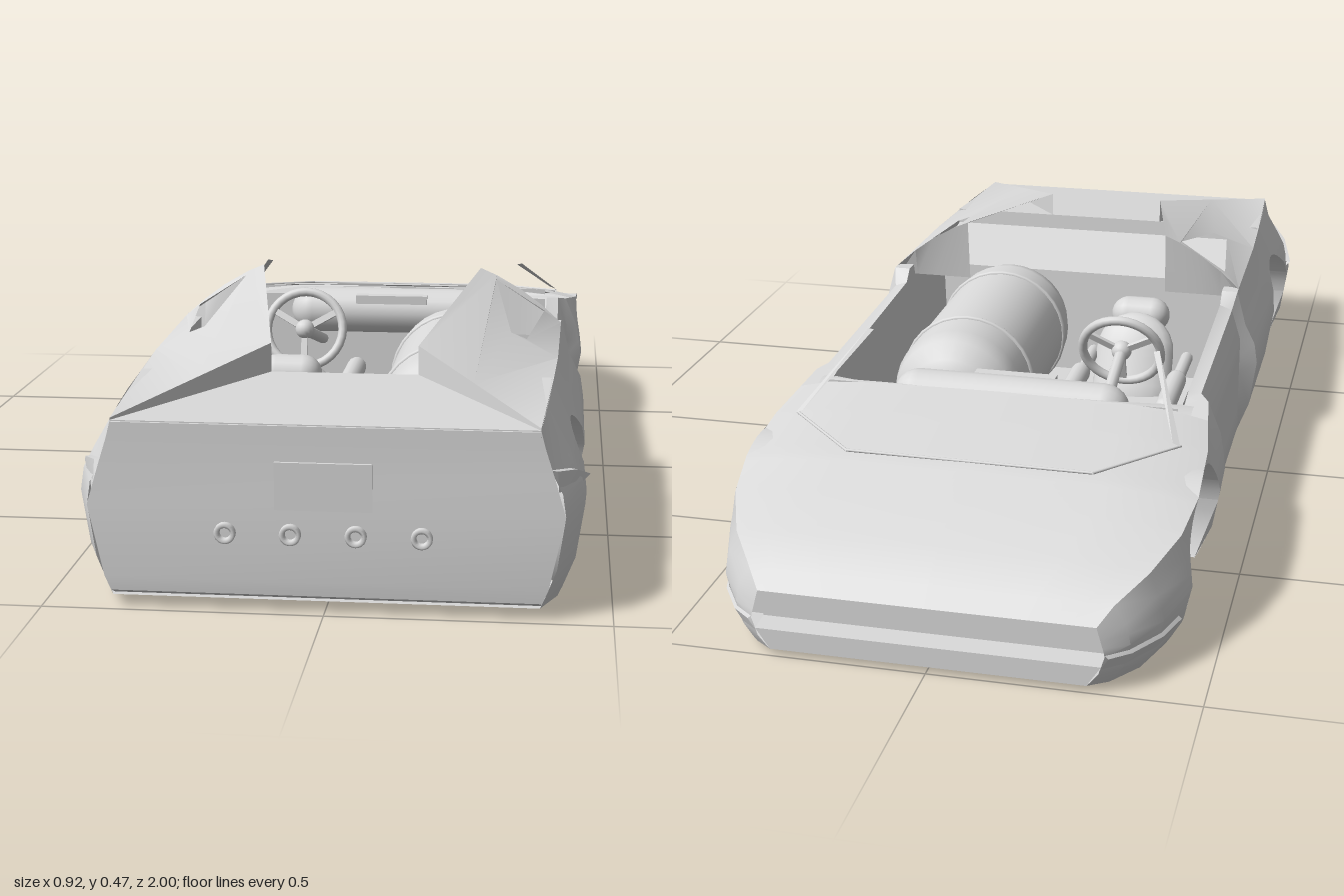
import * as THREE from 'three';
import { toCreasedNormals } from 'three/addons/utils/BufferGeometryUtils.js';

const lerp = THREE.MathUtils.lerp;
// Body stations: z, half width, shoulder x, shoulder y, underside y, width limit
const stations = [
  [-1, 0.325, 0.31, 0.135, 0.018, 1], [-0.97, 0.365, 0.335, 0.165, 0.014, 1], [-0.9, 0.412, 0.385, 0.198, 0.008, 1],
  [-0.8, 0.445, 0.425, 0.228, 0.004, 1], [-0.7, 0.454, 0.44, 0.256, 0.007, 1], [-0.55, 0.454, 0.435, 0.283, 0.014, 1],
  [-0.37, 0.448, 0.41, 0.312, 0.02, 1], [-0.345, 0.448, 0.392, 0.318, 0.02, 0.413], [0.13, 0.448, 0.392, 0.33, 0.02, 0.413],
  [0.155, 0.45, 0.4, 0.365, 0.02, 1], [0.5, 0.45, 0.395, 0.36, 0.02, 1], [0.8, 0.452, 0.382, 0.352, 0.02, 1],
  [0.9, 0.448, 0.376, 0.348, 0.02, 1], [0.985, 0.415, 0.37, 0.342, 0.026, 1],
];
// Side section: height fraction, width fraction at the front, at the rear
const section = [[0, 0.9, 0.9], [0.06, 0.92, 0.92], [0.22, 0.967, 0.967], [0.52, 1, 1], [0.65, 0.99, 0.985], [0.78, 0.975, 0.935]];
const arches = [{ z: 0.67, y: 0.11, r: 0.175 }, { z: -0.62, y: 0.105, r: 0.17 }];
const WELL = 0.27;

function at(z) {
  let i = 0;
  while (i < stations.length - 2 && z > stations[i + 1][0]) i++;
  const a = stations[i], b = stations[i + 1], t = (z - a[0]) / (b[0] - a[0]);
  const [, w, sx, sy, base, limit] = a.map((v, k) => lerp(v, b[k], t));
  return { w, sx, sy, base, limit };
}
function profile(z) {
  const s = at(z);
  return [...section.map(([f, xf, xr]) => [Math.min((z > 0.14 ? xr : xf) * s.w, s.limit), lerp(s.base, s.sy, f)]), [s.sx, s.sy]];
}
function sideX(z, y) {
  const p = profile(z);
  for (let i = 0; i < p.length - 1; i++) {
    if (y <= p[i + 1][1]) return lerp(p[i][0], p[i + 1][0], Math.max(0, (y - p[i][1]) / (p[i + 1][1] - p[i][1])));
  }
  return p[p.length - 1][0];
}
const archAt = (z) => arches.find((a) => Math.abs(z - a.z) < a.r - 0.002);
const archY = (a, z) => a.y + Math.sqrt(a.r * a.r - (z - a.z) ** 2);
// Half length of an arch opening at a height
const archHalf = (a, y) => Math.sqrt(a.r * a.r - Math.min(0, y - a.y) ** 2);

// Surface through equal rows of points
function surface(rows, crease = 0.45) {
  const n = rows[0].length, index = [];
  for (let i = 0; i < rows.length - 1; i++) {
    for (let j = 0; j < n - 1; j++) {
      const a = i * n + j, b = a + n;
      index.push(a, b, a + 1, b, b + 1, a + 1);
    }
  }
  const g = new THREE.BufferGeometry();
  g.setAttribute('position', new THREE.Float32BufferAttribute(rows.flat(2), 3));
  g.setIndex(index);
  return toCreasedNormals(g, crease);
}

export function createModel() {
  const car = new THREE.Group();
  car.name = 'openCarBody';
  const grey = new THREE.MeshStandardMaterial({ color: 0xdadada, side: THREE.DoubleSide });
  grey.name = 'lightGrey';
  const add = (name, geo, x = 0, y = 0, z = 0) => {
    const m = new THREE.Mesh(geo, grey);
    m.name = name;
    m.position.set(x, y, z);
    car.add(m);
    return m;
  };
  const both = (name, make) => [1, -1].forEach((s) => add(name + (s > 0 ? 'Left' : 'Right'), make(s)));
  const rod = (name, a, b, r) => {
    const line = new THREE.LineCurve3(new THREE.Vector3(...a), new THREE.Vector3(...b));
    return add(name, new THREE.TubeGeometry(line, 1, r, 10));
  };

  // Columns along the length, dense over the arches
  const zs = stations.map((s) => s[0]);
  for (const a of arches) {
    for (let i = 0; i <= 20; i++) zs.push(a.z - Math.cos((i / 20) * Math.PI) * (a.r - 0.0025));
    for (const d of [-1, 1]) {
      const h = archHalf(a, 0.02);
      zs.push(a.z + d * (a.r - 0.0015), a.z + d * (h - 0.0005), a.z + d * (h + 0.0005));
    }
  }
  zs.push(-0.44, 0.44);
  zs.sort((a, b) => a - b);

  // Flanks with round wheel arches
  both('flank', (s) => surface(zs.map((z) => {
    const a = archAt(z);
    const rim = arches.find((r) => Math.abs(Math.abs(z - r.z) - r.r + 0.0015) < 0.0004);
    return profile(z).map(([, y]) => {
      const yy = a ? Math.max(y, archY(a, z)) : y;
      const zz = rim ? rim.z + Math.sign(z - rim.z) * archHalf(rim, y) : z;
      return [s * sideX(z, yy), yy, zz];
    });
  })));

  // Underside, notched for the wheels
  add('underside', surface(zs.map((z) => {
    const { base, w, limit } = at(z);
    const x = arches.some((a) => Math.abs(z - a.z) < archHalf(a, 0.02)) ? WELL : Math.min(w * 0.9, limit);
    return [[-x, base, z], [x, base, z]];
  })));

  // Wheel wells: inner disc, roof and curved ends
  for (const a of arches) {
    const end = a.z > 0 ? 'rear' : 'front';
    const arc = zs.filter((z) => archAt(z) === a);
    both(end + 'WheelWell', (s) => surface(arc.map((z) => {
      const y = archY(a, z), low = Math.max(at(z).base, 2 * a.y - y);
      return [[s * WELL, low, z], [s * WELL, y, z], [s * sideX(z, y), y, z]];
    })));
    for (const d of [-1, 1]) {
      both(end + 'WellEnd', (s) => surface([0.02, 0.05, 0.08, 0.11, 0.14].map((y) => {
        const z = a.z + d * Math.sqrt(a.r ** 2 - (y - a.y) ** 2);
        return [[s * WELL, y, z], [s * sideX(z, y), y, z]];
      })));
    }
  }

  // Bonnet
  const bonnetZ = zs.filter((z) => z <= -0.44);
  add('bonnet', surface(bonnetZ.map((z) => {
    const { sx, sy } = at(z), bump = 0.024 * Math.min(1, (z + 1) / 0.3);
    return [[-1, 0], [-0.85, 0.6], [-0.6, 0.9], [0, 1], [0.6, 0.9], [0.85, 0.6], [1, 0]].map(([f, h]) => [f * sx, sy + h * bump, z]);
  })));
  // Scuttle curving back toward the cabin
  add('scuttle', surface([0, 0.5, 1].map((t) => [-1, -0.6, 0, 0.6, 1].map((f) =>
    [f * 0.385, lerp(f * f < 1 ? 0.322 : 0.305, 0.318, t) - 0.012 * (t === 1), -0.44 + t * 0.06 * f * f]))));
  add('firewall', surface([[[-0.36, 0.32, -0.44], [0.36, 0.32, -0.44]], [[-0.36, 0.03, -0.44], [0.36, 0.03, -0.44]]]));
  // Nose with a deep slot over the bumper
  add('nose', surface([[0.135, -1], [0.09, -1], [0.085, -0.955], [0.06, -0.955], [0.058, -1], [0.018, -1]].map(([y, z]) => {
    const x = sideX(-1, y);
    return [[-x, y, z], [x, y, z]];
  })));
  both('noseSideLip', (s) => surface([-1, -0.97, -0.9, -0.83].map((z) =>
    [[s * (sideX(z, 0.082) + 0.001), 0.082, z], [s * (sideX(z, 0.075) + 0.008), 0.076, z], [s * (sideX(z, 0.05) - 0.001), 0.05, z]])));

  // Windscreen surround
  both('screenPillar', (s) => surface([
    [[s * 0.385, 0.298, -0.57], [s * 0.37, 0.304, -0.57]], [[s * 0.305, 0.4, -0.34], [s * 0.293, 0.398, -0.34]],
  ]));
  const frame = [[-0.385, 0.296, -0.56], [-0.24, 0.2825, -0.69], [0.24, 0.2825, -0.69], [0.385, 0.296, -0.56]];
  for (let i = 0; i < 3; i++) rod('screenSeal', frame[i], frame[i + 1], 0.003);

  // Cabin rails, lining, floor and rear bulkhead
  const cabinZ = zs.filter((z) => z >= -0.44 && z <= 0.44);
  both('cabinRail', (s) => surface(cabinZ.map((z) => {
    const { sx, sy } = at(z), lift = z > -0.22 && z < 0.14 ? 0.01 : 0;
    return [[s * sx, sy, z], [s * 0.365, sy + lift, z], [s * 0.355, 0.03, z]];
  })));
  add('cabinFloor', new THREE.BoxGeometry(0.71, 0.01, 0.88), 0, 0.03, 0);
  add('rearDeck', surface([[0.985, 0.37, 0.342], [0.67, 0.385, 0.36], [0.668, 0.385, 0.325], [0.53, 0.39, 0.3],
    [0.45, 0.39, 0.285], [0.44, 0.355, 0.03]].map(([z, x, y]) => [[-x, y, z], [x, y, z]])));

  // Flying buttresses with quarter windows
  const inner = (z) => {
    const [a, b, t] = z < 0.67 ? [[0.23, 0.478], [0.138, 0.415], (z - 0.18) / 0.49] : [[0.138, 0.415], [0.37, 0.346], (z - 0.67) / 0.315];
    return [lerp(a[0], b[0], t), lerp(a[1], b[1], t)];
  };
  const buttressPoint = (s, z, v) => {
    const o = at(z), n = inner(z), lift = 0.05 * v * (1 - v) * (1 - (z - 0.18) / 0.805);
    return [s * lerp(o.sx, n[0], v), lerp(o.sy, n[1], v) + lift, z];
  };
  both('buttress', (s) => {
    const shape = new THREE.Shape([[0.18, 0], [0.5, 0], [0.67, 0], [0.985, 0], [0.985, 1], [0.82, 1], [0.67, 1],
      [0.5, 1], [0.18, 1], [0.18, 0.8], [0.18, 0.5], [0.18, 0.25]].map((p) => new THREE.Vector2(...p)));
    shape.holes.push(new THREE.Path([[0.205, 0.2], [0.205, 0.78], [0.47, 0.42], [0.47, 0.28]].map((p) => new THREE.Vector2(...p))));
    const g = new THREE.ShapeGeometry(shape), p = g.attributes.position;
    for (let i = 0; i < p.count; i++) p.setXYZ(i, ...buttressPoint(s, p.getX(i), p.getY(i)));
    return toCreasedNormals(g, 0.6);
  });
  both('buttressFront', (s) => surface([0, 0.25, 0.5, 0.8, 1].map((v) => {
    const [x, y, z] = buttressPoint(s, 0.18, v);
    return [[x, y, z], [x, 0.34, z + 0.015]];
  })));
  both('buttressWall', (s) => surface([0.67, 0.75, 0.83, 0.91, 0.985].map((z) => {
    const [x, y] = inner(z);
    return [[s * x, y, z], [s * x, lerp(0.36, 0.342, (z - 0.67) / 0.315), z]];
  })));

  // Tail panel, plate holder and corner slots
  add('tailPanel', surface([[0.342, 0.985], [0.31, 0.985], [0.26, 0.985], [0.19, 0.988], [0.06, 0.988], [0.034, 0.985], [0.02, 0.96]].map(([y, z]) => {
    const x = sideX(0.985, y);
    return [[-x, y, z], [x, y, z]];
  })));
  add('tailLip', new THREE.BoxGeometry(0.74, 0.03, 0.012), 0, 0.325, 0.984);
  add('plateHolder', new THREE.BoxGeometry(0.17, 0.085, 0.008), 0, 0.233, 0.987);
  both('tailSlot', (s) => surface([[0.987, 0.272, 0.235], [0.92, 0.258, 0.225], [0.83, 0.225, 0.212]].map(([z, hi, lo]) =>
    [[s * sideX(z, hi), hi + 0.002, z], [s * (sideX(z, hi) + 0.012), hi, z], [s * (sideX(z, lo) - 0.004), lo, z]])));
  const pipe = [[0.008, -0.02], [0.01, 0.008], [0.015, 0.012], [0.019, 0.008], [0.019, -0.02]].map((p) => new THREE.Vector2(...p));
  for (const x of [-0.172, -0.058, 0.056, 0.17]) {
    add('exhaust', new THREE.LatheGeometry(pipe, 20), x, 0.147, 0.988).rotation.x = Math.PI / 2;
  }

  // Gas tank with bands
  const tank = [[0, -0.33], [0.06, -0.325], [0.105, -0.305], [0.135, -0.27], [0.145, -0.23],
    [0.145, 0.23], [0.135, 0.27], [0.105, 0.305], [0.06, 0.325], [0, 0.33]].map((p) => new THREE.Vector2(...p));
  add('tank', new THREE.LatheGeometry(tank, 32), 0.17, 0.185, 0.1).rotation.x = Math.PI / 2;
  for (const z of [-0.05, 0.27]) add('tankBand', new THREE.TorusGeometry(0.145, 0.006, 8, 32), 0.17, 0.185, z);

  // Dash roll and crossbar
  add('dashRoll', new THREE.CapsuleGeometry(0.054, 0.385, 6, 20), -0.005, 0.275, -0.37).rotation.z = Math.PI / 2;
  add('dashSlot', new THREE.BoxGeometry(0.17, 0.02, 0.03), -0.005, 0.31, -0.33);
  rod('crossbar', [-0.2, 0.26, -0.33], [0.34, 0.26, -0.33], 0.005);

  // Steering wheel and column
  const wheel = new THREE.Group();
  wheel.name = 'steeringWheel';
  wheel.add(new THREE.Mesh(new THREE.TorusGeometry(0.086, 0.01, 10, 32), grey));
  wheel.add(new THREE.Mesh(new THREE.SphereGeometry(0.022, 16, 10), grey));
  for (let i = 0; i < 3; i++) {
    const spoke = new THREE.Mesh(new THREE.BoxGeometry(0.014, 0.085, 0.008).translate(0, 0.043, 0), grey);
    spoke.rotation.z = Math.PI + (i * Math.PI * 2) / 3;
    wheel.add(spoke);
  }
  wheel.position.set(-0.178, 0.288, -0.065);
  wheel.rotation.x = -0.38;
  car.add(wheel);
  rod('steeringColumn', [-0.178, 0.285, -0.07], [-0.178, 0.2, -0.38], 0.013);

  // Seat with side bolsters, arms and headrest
  add('seatBase', new THREE.BoxGeometry(0.24, 0.08, 0.33), -0.175, 0.075, 0);
  const back = add('seatBack', new THREE.CapsuleGeometry(0.09, 0.08, 6, 20), -0.165, 0.16, 0.16);
  back.scale.z = 0.45;
  back.rotation.x = 0.45;
  for (const x of [-0.285, -0.067]) {
    add('seatBolster', new THREE.CapsuleGeometry(0.022, 0.16, 5, 14), x, 0.19, -0.045).rotation.x = Math.PI / 2;
    rod('seatArm', [x, 0.185, 0.04], [x, 0.185, 0.19], 0.014);
  }
  add('headrest', new THREE.CapsuleGeometry(0.04, 0.055, 6, 16), -0.165, 0.26, 0.255).rotation.z = Math.PI / 2;

  return car;
}
